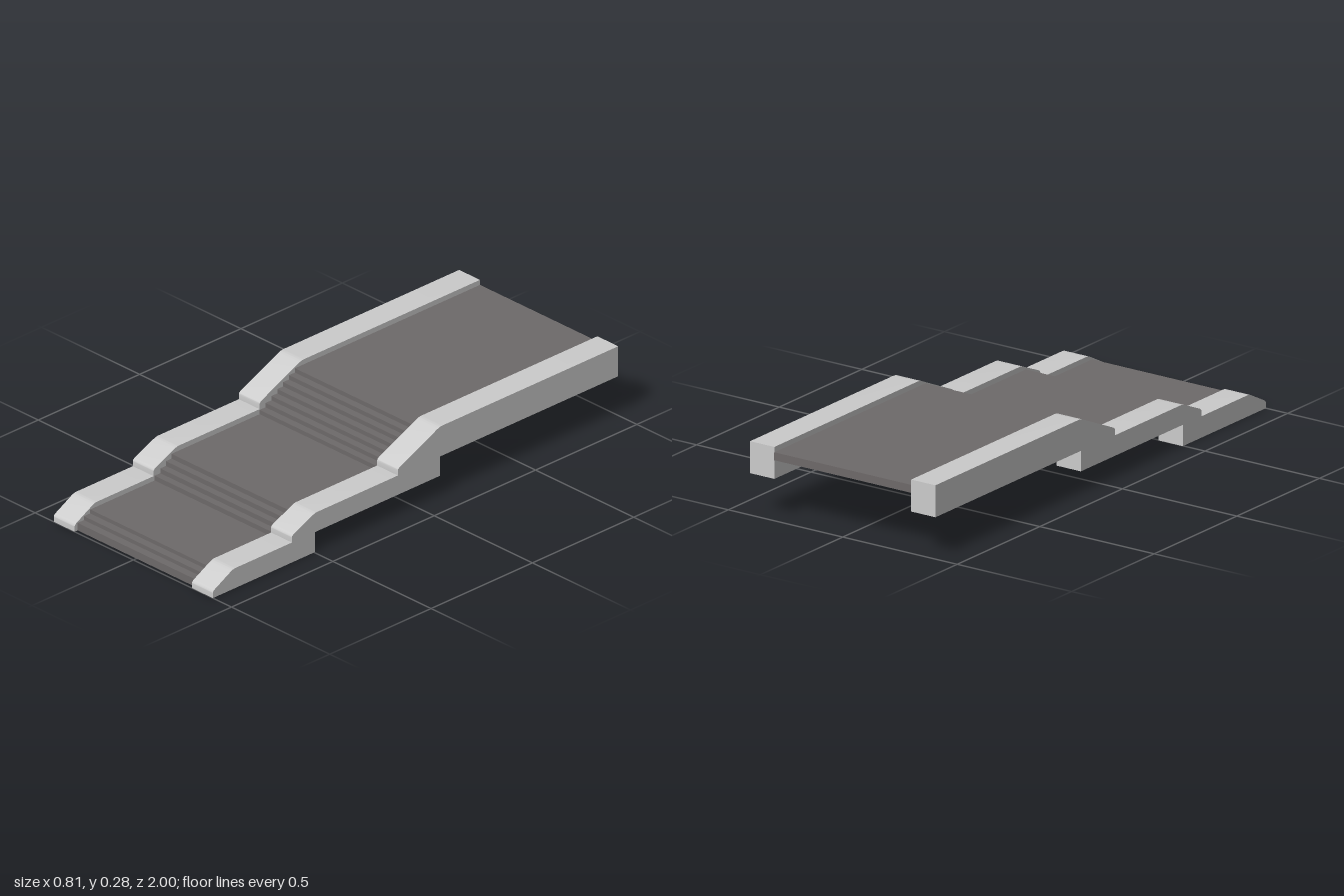
import * as THREE from 'three';
import { toCreasedNormals } from 'three/addons/utils/BufferGeometryUtils.js';

// Extrudes a (z, y) side profile across x, centred on x = 0
function extrudeAcross(shape, width) {
  const g = new THREE.ExtrudeGeometry(shape, { depth: width, bevelEnabled: false, curveSegments: 5 });
  g.rotateY(-Math.PI / 2);
  g.translate(width / 2, 0, 0);
  return toCreasedNormals(g, 0.4);
}

// Flights, front to back: nose position, crest position, rail base and rail top
const rails = [
  { nose: 1, crest: 0.9, base: 0, top: 0.08 },
  { nose: 0.61, crest: 0.495, base: 0.08, top: 0.157 },
  { nose: 0.087, crest: -0.12, base: 0.157, top: 0.277 },
];

function railShape() {
  const s = new THREE.Shape();
  s.moveTo(1, 0);
  for (const { nose, crest, base, top } of rails) {
    const lip = base + 0.027;
    const slope = (top - lip) / (nose - crest);
    s.lineTo(nose, base);
    s.lineTo(nose, lip - 0.008);
    // rounded nose, then rounded crest
    s.quadraticCurveTo(nose, lip, nose - 0.012, lip + 0.012 * slope);
    s.lineTo(crest + 0.012, top - 0.012 * slope);
    s.quadraticCurveTo(crest, top, crest - 0.012, top);
  }
  s.lineTo(-1, 0.277);
  s.lineTo(-1, 0.157);
  s.lineTo(-0.12, 0.157);
  s.lineTo(-0.12, 0.08);
  s.lineTo(0.497, 0.08);
  s.lineTo(0.497, 0);
  s.closePath();
  return s;
}

// Step groups: first riser, last riser, first tread height, landing height, count
const flights = [
  { z0: 0.985, z1: 0.923, y0: 0.03, y1: 0.061, n: 3 },
  { z0: 0.605, z1: 0.522, y0: 0.08, y1: 0.137, n: 4 },
  { z0: 0.087, z1: -0.087, y0: 0.154, y1: 0.257, n: 7 },
];

function stairShape() {
  const thickness = 0.03;
  const line = [];
  let y = 0.03;
  for (const f of flights) {
    for (let i = 0; i < f.n; i++) {
      const t = i / (f.n - 1);
      const z = THREE.MathUtils.lerp(f.z0, f.z1, t);
      if (line.length) line.push([z, y]);
      y = THREE.MathUtils.lerp(f.y0, f.y1, t);
      line.push([z, y]);
    }
  }
  line.push([-1, y]);
  const under = line.map(([z, h]) => [z, h - thickness]).reverse();
  return new THREE.Shape([...line, ...under].map(([z, h]) => new THREE.Vector2(z, h)));
}

export function createModel() {
  const group = new THREE.Group();
  group.name = 'steppedWalkway';
  const stone = new THREE.MeshStandardMaterial({ color: 0xcccccc });
  const dark = new THREE.MeshStandardMaterial({ color: 0x6e6a6a });

  // Side rails
  const railGeometry = extrudeAcross(railShape(), 0.106);
  for (const [name, side] of [['leftRail', 1], ['rightRail', -1]]) {
    const rail = new THREE.Mesh(railGeometry, stone);
    rail.name = name;
    rail.position.x = side * 0.352;
    group.add(rail);
  }

  // Steps and landings as one thin folded slab
  const stairs = new THREE.Mesh(extrudeAcross(stairShape(), 0.6), dark);
  stairs.name = 'stepsAndLandings';
  group.add(stairs);

  return group;
}
